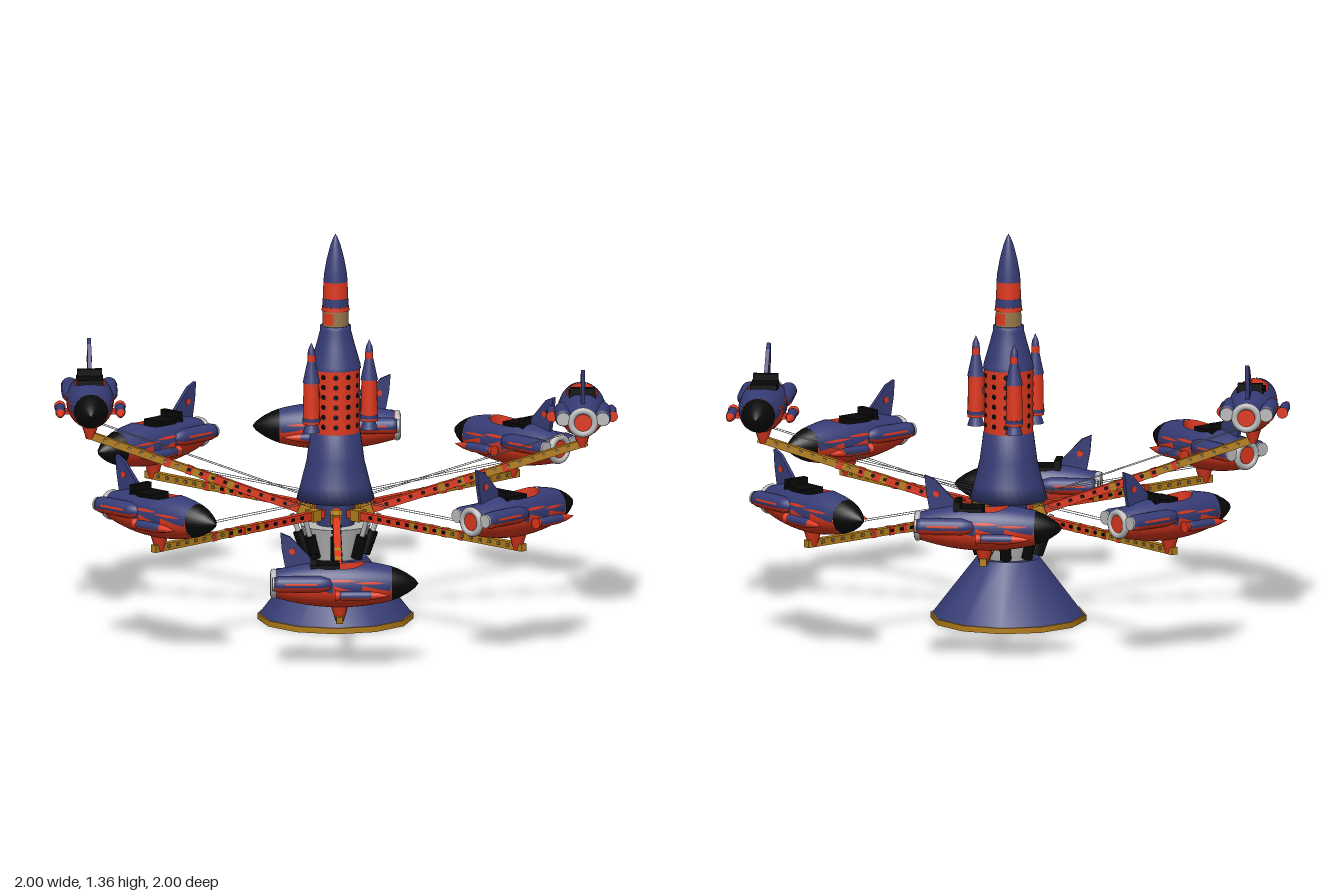
import * as THREE from 'three';
import { ParametricGeometry } from 'three/addons/geometries/ParametricGeometry.js';

const paint = (name, color) => Object.assign(new THREE.MeshStandardMaterial({ color }), { name });
const blue = paint('navy blue', 0x363c76);
const red = paint('orange red', 0xdf381e);
const black = paint('black', 0x080808);
const gold = paint('gold', 0xb47e1a);
const grey = paint('light grey', 0xbcbcbc);
const tan = paint('tan', 0x97774a);
const dull = paint('dull grey', 0xa6a6a6);

function add(parent, name, geo, mat, x = 0, y = 0, z = 0) {
  const m = new THREE.Mesh(geo, mat);
  m.name = name;
  m.position.set(x, y, z);
  parent.add(m);
  return m;
}
function group(parent, name) {
  const g = new THREE.Group();
  g.name = name;
  parent.add(g);
  return g;
}
const box = (x, y, z) => new THREE.BoxGeometry(x, y, z);
const cyl = (top, bottom, h, n = 24) => new THREE.CylinderGeometry(top, bottom, h, n);
const lathe = (pts, n = 24, start = 0, span = Math.PI * 2) =>
  new THREE.LatheGeometry(pts.map(p => new THREE.Vector2(...p)), n, start, span);
const alongX = geo => geo.rotateZ(-Math.PI / 2);

// Turned part lying along x, red underneath and blue on top
function twoTone(parent, name, pts, x, y, z) {
  add(parent, name + 'Lower', alongX(lathe(pts, 8, 0.35, Math.PI - 0.7)), red, x, y, z);
  add(parent, name + 'Upper', alongX(lathe(pts, 12, Math.PI - 0.35, Math.PI + 0.7)), blue, x, y, z);
}

// Rod between two points
function rod(parent, name, a, b, r, mat, n = 8) {
  const p = new THREE.Vector3(...a), d = new THREE.Vector3(...b).sub(p);
  const m = add(parent, name, cyl(r, r, d.length(), n), mat);
  m.position.copy(p).addScaledVector(d, 0.5);
  m.quaternion.setFromUnitVectors(new THREE.Vector3(0, 1, 0), d.normalize());
}

// Hull rules: radius, flame edge and cockpit opening along the length
const TAIL = -0.22, FRONT = 0.18;
const radius = x => 0.082 - 0.7 * x * x;
const flameEdge = x => {
  const t = (x - TAIL) / 0.1;
  return 1.3 + 0.36 * (1 - (t - Math.floor(t)));
};
const opening = x => 0.054 * Math.pow(Math.max(0, 1 - Math.abs((x + 0.01) / 0.098) ** 3), 0.5);
const rim = x => Math.PI - Math.asin(opening(x) / radius(x));

// Hull skin between two angles measured from the keel, with smooth hull normals
function skin(a0, a1, x0 = TAIL, x1 = FRONT, lift = 0, nu = 60, nv = 10) {
  const geo = new ParametricGeometry((u, v, t) => {
    const x = x0 + (x1 - x0) * u, r = radius(x) + lift;
    const a = a0(x) + (a1(x) - a0(x)) * v;
    t.set(x, -r * Math.cos(a), r * Math.sin(a));
  }, nu, nv);
  const p = geo.attributes.position, n = new THREE.Vector3();
  for (let i = 0; i < p.count; i++) {
    n.fromBufferAttribute(p, i);
    n.x *= 1.4 * radius(n.x);
    n.normalize();
    geo.attributes.normal.setXYZ(i, n.x, n.y, n.z);
  }
  return geo;
}

function addRocket(parent) {
  const g = group(parent, 'rocketCar');
  add(g, 'lowerHull', skin(x => -flameEdge(x), flameEdge, TAIL, FRONT, 0, 60, 16), red);
  add(g, 'upperHullOuter', skin(flameEdge, rim), blue);
  add(g, 'upperHullInner', skin(x => -rim(x), x => -flameEdge(x)), blue);
  add(g, 'noseCone', alongX(lathe([[radius(FRONT), 0], [0.05, 0.025], [0.034, 0.055], [0.016, 0.08], [0, 0.092]])), black, FRONT);

  // Open cockpit
  for (const s of [1, -1]) {
    add(g, 'cockpitWall', new ParametricGeometry((u, v, t) => {
      const x = -0.108 + 0.196 * u, w = opening(x), k = s > 0 ? v : 1 - v;
      const top = Math.sqrt(radius(x) ** 2 - w * w);
      t.set(x, top + (0.03 - top) * k, s * w);
    }, 24, 1), red);
  }
  const floor = add(g, 'cockpitFloor', new THREE.CircleGeometry(1, 24).rotateX(-Math.PI / 2), red, -0.01, 0.035);
  floor.scale.set(0.125, 1, 0.066);
  add(g, 'seat', box(0.1, 0.04, 0.092), black, -0.05, 0.052);
  add(g, 'seatBack', box(0.022, 0.045, 0.086), black, -0.09, 0.072);

  // Tail fin with a round red mark
  const fin = new THREE.Shape([[-0.07, 0.06], [-0.17, 0.165], [-0.205, 0.18], [-0.2, 0.12], [-0.185, 0.04]].map(p => new THREE.Vector2(...p)));
  add(g, 'tailFin', new THREE.ExtrudeGeometry(fin, { depth: 0.014, bevelEnabled: false }), blue, 0, 0, -0.007);
  add(g, 'finMark', cyl(0.011, 0.011, 0.018, 12).rotateX(Math.PI / 2), red, -0.165, 0.115);

  // Tail ring and nozzle
  add(g, 'tailPlate', alongX(cyl(0.048, 0.05, 0.01)), red, TAIL);
  add(g, 'tailRing', new THREE.TorusGeometry(0.041, 0.012, 8, 24).rotateY(Math.PI / 2), grey, TAIL - 0.008);
  add(g, 'nozzle', alongX(cyl(0.03, 0.03, 0.016)), red, TAIL - 0.006);

  for (const s of [1, -1]) {
    // Rear fender engines with a red streak on the outer side
    twoTone(g, 'fender', [[0, -0.226], [0.024, -0.226], [0.029, -0.21], [0.029, -0.07], [0.021, -0.035], [0, -0.018]], 0, 0.012, s * 0.068);
    add(g, 'fenderRim', alongX(cyl(0.024, 0.024, 0.01, 14)), grey, -0.229, 0.012, s * 0.068);
    add(g, 'fenderStreak', alongX(lathe([[0.0298, -0.19], [0.0298, -0.08]], 4, s > 0 ? -0.25 : Math.PI, 0.25)), red, 0, 0.012, s * 0.068);
    // Slim pods beside the hull
    twoTone(g, 'pod', [[0, -0.01], [0.012, -0.01], [0.017, 0.01], [0.017, 0.09], [0.014, 0.11]], 0, -0.022, s * 0.104);
    add(g, 'podNose', alongX(lathe([[0.015, 0], [0.011, 0.025], [0, 0.065]], 12)), red, 0.108, -0.022, s * 0.104);
    add(g, 'podTail', alongX(cyl(0.014, 0.02, 0.02, 14)), red, -0.008, -0.022, s * 0.104);
    add(g, 'podMount', box(0.05, 0.012, 0.04), red, 0.06, -0.024, s * 0.085);
    // Red flame streaks on the blue flanks
    for (const [x0, x1, a] of [[-0.05, 0.06, 1.87], [0.05, 0.16, 1.78]]) {
      const w = x => 0.06 * Math.sin(Math.PI * Math.min(1, Math.max(0.02, (x - x0) / (x1 - x0))));
      add(g, 'flameStreak', skin(x => s * a - w(x), x => s * a + w(x), x0, x1, 0.002, 10, 2), red);
    }
  }
  // Support foot
  add(g, 'supportFoot', cyl(0.034, 0.014, 0.065, 12), red, 0, -0.1);
  return g;
}

function addArm(parent, angle, rise) {
  const spoke = group(parent, 'spoke');
  spoke.rotation.y = angle;
  const run = 0.775 - 0.1 * Math.abs(rise);
  const arm = group(spoke, 'arm');
  arm.position.set(0, 0.38, 0.1);
  arm.rotation.x = -Math.atan2(rise, run);
  add(arm, 'innerBeam', box(0.024, 0.028, 0.43), red, 0, 0, 0.175);
  add(arm, 'outerBeam', box(0.024, 0.026, 0.415), gold, 0, 0, 0.5975);
  add(arm, 'pivotBracket', box(0.04, 0.04, 0.04), gold, 0, 0, 0.01);
  // Lamps along both sides, with short gold and red bands near the colour change
  for (let i = 0; i < 16; i++) {
    add(arm, 'armLamp', box(0.034, 0.01, 0.012), i < 9 ? black : tan, 0, 0.002, 0.08 + i * 0.044);
  }
  for (const [z, mat] of [[0.28, gold], [0.35, gold], [0.43, red], [0.51, red]]) {
    add(arm, 'armBand', box(0.0255, 0.0295, 0.022), mat, 0, 0, z);
  }
  // Levelling rods above the beam
  for (const s of [1, -1]) {
    rod(spoke, 'levellingRod', [s * 0.012, 0.43, 0.09], [s * 0.012, 0.43 + rise, 0.09 + run], 0.0012, grey, 5);
  }
  // Lift piston under the arm
  rod(spoke, 'pistonBody', [0, 0.23, 0.1], [0, 0.31, 0.128], 0.02, black, 10);
  rod(spoke, 'pistonRod', [0, 0.3, 0.125], [0, 0.37, 0.15], 0.009, grey);
  addRocket(spoke).position.set(0, 0.5 + rise, 0.1 + run);
}

function addBooster(parent, angle) {
  const g = group(parent, 'booster');
  g.position.set(0.12 * Math.cos(angle), 0, 0.12 * Math.sin(angle));
  add(g, 'boosterNozzle', cyl(0.02, 0.03, 0.03, 16), blue, 0, 0.69);
  add(g, 'boosterBody', cyl(0.027, 0.03, 0.145, 16), red, 0, 0.777);
  add(g, 'boosterBand', cyl(0.031, 0.031, 0.012, 16), blue, 0, 0.72);
  add(g, 'boosterShoulder', cyl(0.014, 0.03, 0.075, 16), blue, 0, 0.887);
  add(g, 'boosterRing', cyl(0.014, 0.014, 0.025, 16), red, 0, 0.935);
  add(g, 'boosterTip', lathe([[0.014, 0], [0.011, 0.02], [0, 0.045]], 16), blue, 0, 0.946);
  const mount = add(g, 'boosterMount', box(0.05, 0.02, 0.015), blue, -0.03 * Math.cos(angle), 0.8, -0.03 * Math.sin(angle));
  mount.rotation.y = -angle;
}

function addTower(parent) {
  const g = group(parent, 'tower');
  // Twelve-sided base
  const turn = Math.PI / 12;
  add(g, 'baseRim', cyl(0.27, 0.27, 0.02, 12), gold, 0, 0.01).rotation.y = turn;
  add(g, 'baseUnderside', cyl(0.262, 0.262, 0.004, 12), dull, 0, 0.001).rotation.y = turn;
  add(g, 'baseCone', cyl(0.11, 0.264, 0.2, 12), blue, 0, 0.12).rotation.y = turn;
  add(g, 'liftHousing', cyl(0.122, 0.09, 0.115, 16), grey, 0, 0.2775);
  add(g, 'hub', cyl(0.065, 0.065, 0.12), blue, 0, 0.38);
  // Main body
  add(g, 'lowerSkirt', lathe([[0.06, 0.42], [0.135, 0.425], [0.12, 0.48], [0.1, 0.56], [0.087, 0.66], [0.06, 0.668]], 32), blue);
  add(g, 'drum', cyl(0.085, 0.085, 0.23, 36), red, 0, 0.777);
  for (let row = 0; row < 6; row++) for (let i = 0; i < 12; i++) {
    const a = (i + 0.5) * Math.PI / 6;
    add(g, 'porthole', new THREE.CircleGeometry(0.0095, 10), black,
      0.0862 * Math.sin(a), 0.69 + row * 0.035, 0.0862 * Math.cos(a)).rotation.y = a;
  }
  add(g, 'shoulder', lathe([[0.088, 0.885], [0.086, 0.9], [0.066, 0.97], [0.053, 1.02], [0.053, 1.035], [0.04, 1.035]], 32), blue);
  // Stacked upper bands
  for (const [name, r, y0, y1, mat] of [
    ['tanBand', 0.045, 1.03, 1.09, tan], ['redRing', 0.048, 1.088, 1.103, red],
    ['blueRing', 0.045, 1.1, 1.132, blue], ['upperRedBand', 0.043, 1.13, 1.19, red]]) {
    add(g, name, cyl(r - 0.001, r, y1 - y0, 32), mat, 0, (y0 + y1) / 2);
  }
  // Red side panels on the tan band
  for (const s of [1, -1]) {
    add(g, 'redSidePanel', new THREE.CylinderGeometry(0.0458, 0.0462, 0.04, 12, 1, true, s * Math.PI / 2 - 0.6, 1.2), red, 0, 1.062);
  }
  add(g, 'towerNose', lathe([[0.042, 1.188], [0.039, 1.22], [0.03, 1.27], [0.017, 1.32], [0.007, 1.345], [0, 1.357]], 32), blue);
  for (let i = 0; i < 3; i++) addBooster(g, Math.PI + i * Math.PI * 2 / 3);
}

export function createModel() {
  const model = new THREE.Group();
  model.name = 'rocketRide';
  addTower(model);
  // Arm heights, starting at the front and turning towards +x
  [0, 0.235, 0, 0, 0, 0.27, 0, -0.2].forEach((rise, i) => addArm(model, i * Math.PI / 4, rise));
  return model;
}
